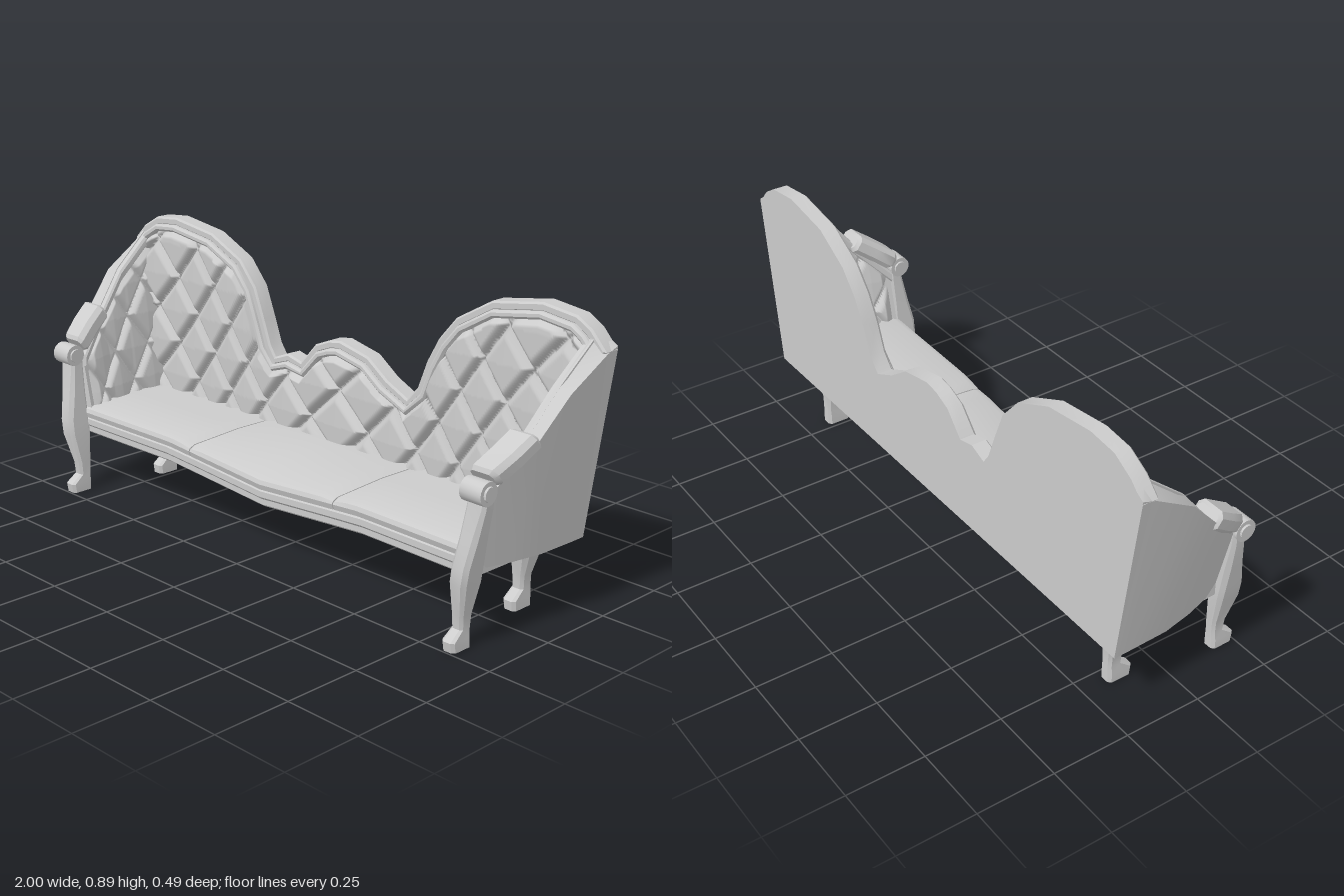
import * as THREE from 'three';
import { toCreasedNormals } from 'three/addons/utils/BufferGeometryUtils.js';
import { ParametricGeometry } from 'three/addons/geometries/ParametricGeometry.js';

const material = new THREE.MeshStandardMaterial({ color: 0xcccccc });

// Top outline of the backrest, [x, y]
const OUTLINE = [[-1, .79], [-.95, .84], [-.88, .88], [-.78, .89], [-.6, .865], [-.46, .80], [-.39, .72],
  [-.35, .62], [-.32, .54], [-.295, .505], [-.235, .528], [-.175, .513], [-.11, .585], [-.05, .61], [0, .618],
  [.12, .592], [.2, .535], [.285, .495], [.325, .54], [.36, .63], [.405, .71], [.47, .785], [.6, .86],
  [.78, .89], [.9, .875], [.95, .845], [1, .79]];

// Side wall stations, [z, outer top y, outer top x, outer bottom x, rise of inner top edge]
const WALL = [[-.245, .8, 1, .92, .03], [-.2, .785, 1, .92, .045], [-.06, .7, .99, .915, .012],
  [.04, .59, .97, .895, 0], [.155, .47, .92, .86, 0]];

// Linear lookup in a table sorted by its first column
function lookup(table, key) {
  let i = 0;
  while (i < table.length - 2 && table[i + 1][0] < key) i++;
  const a = table[i], b = table[i + 1];
  const t = THREE.MathUtils.clamp((key - a[0]) / (b[0] - a[0]), 0, 1);
  return a.map((v, k) => v + (b[k] - v) * t);
}

// Closed skin through equal-sized rings of [x, y, z], turned outward by its signed volume
function loft(rings, crease = 0.6) {
  const n = rings[0].length, pts = rings.flat(), index = [];
  for (let i = 0; i < rings.length - 1; i++) for (let j = 0; j < n; j++) {
    const a = i * n + j, b = i * n + (j + 1) % n;
    index.push(a, b, b + n, a, b + n, a + n);
  }
  const last = (rings.length - 1) * n;
  for (let j = 1; j < n - 1; j++) index.push(0, j + 1, j, last, last + j, last + j + 1);
  const v = pts.map(p => new THREE.Vector3(...p));
  let volume = 0;
  for (let i = 0; i < index.length; i += 3)
    volume += v[index[i]].dot(v[index[i + 1]].clone().cross(v[index[i + 2]]));
  if (volume < 0) index.reverse();
  const g = new THREE.BufferGeometry();
  g.setAttribute('position', new THREE.Float32BufferAttribute(pts.flat(), 3));
  g.setIndex(index);
  return toCreasedNormals(g, crease);
}

// Chamfered rectangle around the origin
function chamfered(w, h, c) {
  return [[w, -h + c], [w, h - c], [w - c, h], [-w + c, h], [-w, h - c], [-w, -h + c], [-w + c, -h], [w - c, -h]];
}

// Outline moved inward by distance d
function inset(d) {
  return OUTLINE.map((p, i) => {
    const a = OUTLINE[Math.max(i - 1, 0)], b = OUTLINE[Math.min(i + 1, OUTLINE.length - 1)];
    const dx = b[0] - a[0], dy = b[1] - a[1], l = Math.hypot(dx, dy);
    return [p[0] + dy / l * d, p[1] - dx / l * d];
  });
}

function extrude(points, z0, z1, bevel = 0) {
  const shape = new THREE.Shape(points.map(p => new THREE.Vector2(...p)));
  const g = new THREE.ExtrudeGeometry(shape, {
    depth: z1 - z0 - bevel, bevelEnabled: bevel > 0, bevelSize: bevel, bevelThickness: bevel,
    bevelOffset: -bevel, bevelSegments: 1
  });
  return toCreasedNormals(g.translate(0, 0, z0), 0.5);
}

// Diamond tufting: 0 in the grooves, 1 on the pillows
function tuft(s, y, width, height) {
  const a = s / width + y / height, b = s / width - y / height;
  const m = Math.min(Math.abs(a - Math.round(a)), Math.abs(b - Math.round(b)));
  const t = 1 - Math.min(1, m / 0.17);
  return 1 - t * t + 0.35 * m;
}

export function createModel() {
  const model = new THREE.Group();
  const add = (name, geometry, parent = model) => {
    const mesh = new THREE.Mesh(geometry, material);
    mesh.name = name;
    parent.add(mesh);
    return mesh;
  };

  // Backrest board and its two-step frame
  add('backBoard', extrude([...OUTLINE, [.92, .22], [-.92, .22]], -.245, -.205));
  add('backFrame', extrude([...OUTLINE, ...inset(.028).reverse()], -.235, -.19, .006));
  add('backFrameBead', extrude([...inset(.024), ...inset(.048).reverse()], -.22, -.176, .007));

  // Tufted back upholstery, smaller diamonds in the low middle
  const inner = inset(.038);
  add('backUpholstery', new ParametricGeometry((u, v, out) => {
    const x0 = (u * 2 - 1) * .955, top = lookup(inner, x0)[1];
    const y = .24 + (top - .24) * v;
    const x = x0 - .08 * Math.max(0, 1 - (y - .22) / .57) * x0 ** 5;
    const s = x + .06 * Math.sin(x * Math.PI * 2) * -.6;
    const edge = Math.min(1, (top - y) / .03);
    out.set(x, y, -.2 + .03 * edge * tuft(s, y, .2, .23));
  }, 320, 76));

  // Seat: front edge bows down in the middle
  const dip = x => .035 * Math.max(0, 1 - Math.abs(x) / .42);
  const front = x => .155 + .015 * Math.min(1, Math.abs(x) / .84);
  const strip = (x0, x1, section) => {
    const rings = [];
    for (let i = 0; i <= 12; i++) {
      const x = x0 + (x1 - x0) * i / 12;
      rings.push(section(x, dip(x), front(x), i === 0 || i === 12 ? .005 : 0).map(([z, y]) => [x, y, z]));
    }
    return loft(rings, 0.5);
  };
  const cushion = (x, d, f, e) => [[-.2, .25], [-.2, .29 - e], [-.05, .292 - e], [f - .025, .29 - d - e],
    [f - .005, .281 - d - e], [f, .268 - d], [f - .006, .25 - d]];
  for (const [name, a, b] of [['rightCushion', -.87, -.322], ['middleCushion', -.318, .318], ['leftCushion', .322, .87]])
    add(name, strip(a, b, cushion));
  add('seatRail', strip(-.87, .87, (x, d, f) =>
    [[-.2, .22], [-.2, .255], [f - .012, .255 - d], [f - .004, .245 - d], [f - .004, .226 - d], [f - .012, .218 - d], [-.06, .22]]));
  add('seatBase', strip(-.85, .85, (x, d, f) =>
    [[-.185, .19], [-.185, .224], [f - .012, .222 - d], [f - .012, .2 - d], [f - .022, .192 - d], [-.06, .19]]));

  // Leg from levels of [y, z front, z back, x inner, x outer]
  const leg = (levels, side) => loft(levels.map(([y, zf, zb, xi, xo]) => {
    const w = (xo - xi) / 2, h = (zf - zb) / 2;
    return chamfered(w, h, Math.min(w, h) * .4).map(([x, z]) => [side * (x + (xi + xo) / 2), y, z + (zf + zb) / 2]);
  }), 0.45);
  const frontLevels = [[0, .243, .168, .823, .868], [.03, .248, .168, .823, .868], [.058, .21, .167, .826, .865],
    [.1, .214, .165, .826, .868], [.2, .238, .155, .832, .892], [.25, .238, .155, .838, .9],
    [.33, .222, .156, .848, .912], [.42, .205, .157, .858, .925], [.47, .2, .157, .862, .928]];
  const backLevels = [[0, -.087, -.167, .765, .81], [.03, -.083, -.167, .765, .81], [.058, -.12, -.167, .767, .808],
    [.1, -.118, -.167, .765, .81], [.16, -.104, -.175, .765, .83], [.2, -.098, -.18, .765, .84]];

  for (const side of [1, -1]) {
    const arm = new THREE.Group();
    arm.name = side > 0 ? 'leftArm' : 'rightArm';
    model.add(arm);

    // Outward-leaning side wall and the lip along its top
    add('sideWall', loft(WALL.map(([z, y, xt, xb, r]) =>
      [[xb, .22], [xt, y], [xt - .05, y + r], [xb - .045, .22]].map(([x, h]) => [side * x, h, z]))), arm);
    add('sideLip', loft(WALL.map(([z, y, xt, , r]) =>
      [[.04, -.002], [.066, -.006], [.072, -.016], [.072, -.038], [.066, -.045], [.04, -.045]]
        .map(([dx, dy]) => [side * (xt - dx), y + r + dy, z]))), arm);

    // Tufted inside of the arm
    add('sideUpholstery', new ParametricGeometry((u, v, out) => {
      const z = -.2 + .345 * (side > 0 ? u : 1 - u);
      const [, top, xt, xb, r] = lookup(WALL, z);
      const y = .25 + (top + r - .03 - .25) * v;
      const x = THREE.MathUtils.lerp(xb - .045, xt - .05, (y - .22) / (top + r - .22));
      const edge = Math.min(1, (1 - v) / .08, (.145 - z) / .03);
      out.set(side * (x + .003 - .024 * edge * tuft(z, y, .15, .22)), y, z);
    }, 64, 72), arm);

    // Sloping arm pad, sections at [x, y, z, half width, half thickness]
    const pad = [[.928, .592, .041, .04, .02], [.926, .586, .049, .05, .03], [.912, .545, .105, .05, .031],
      [.892, .505, .158, .048, .031], [.888, .498, .168, .04, .022]];
    add('armPad', loft(pad.map(([x, y, z, w, h]) => chamfered(w, h, h * .5)
      .map(([a, b]) => [side * (x + a), y + b * .8, z + b * .6]))), arm);

    // Scroll at the head of the front leg
    const scroll = new THREE.Group();
    scroll.name = 'scroll';
    scroll.position.set(side * .893, .468, .193);
    scroll.rotation.z = Math.PI / 2;
    add('scrollRoll', toCreasedNormals(new THREE.CylinderGeometry(.035, .035, .074, 16), 0.6), scroll);
    add('scrollButton', toCreasedNormals(new THREE.CylinderGeometry(.022, .022, .088, 16), 0.6), scroll);
    arm.add(scroll);

    add('frontLeg', leg(frontLevels, side), arm);
    add('backLeg', leg(backLevels, side), arm);
  }
  return model;
}
